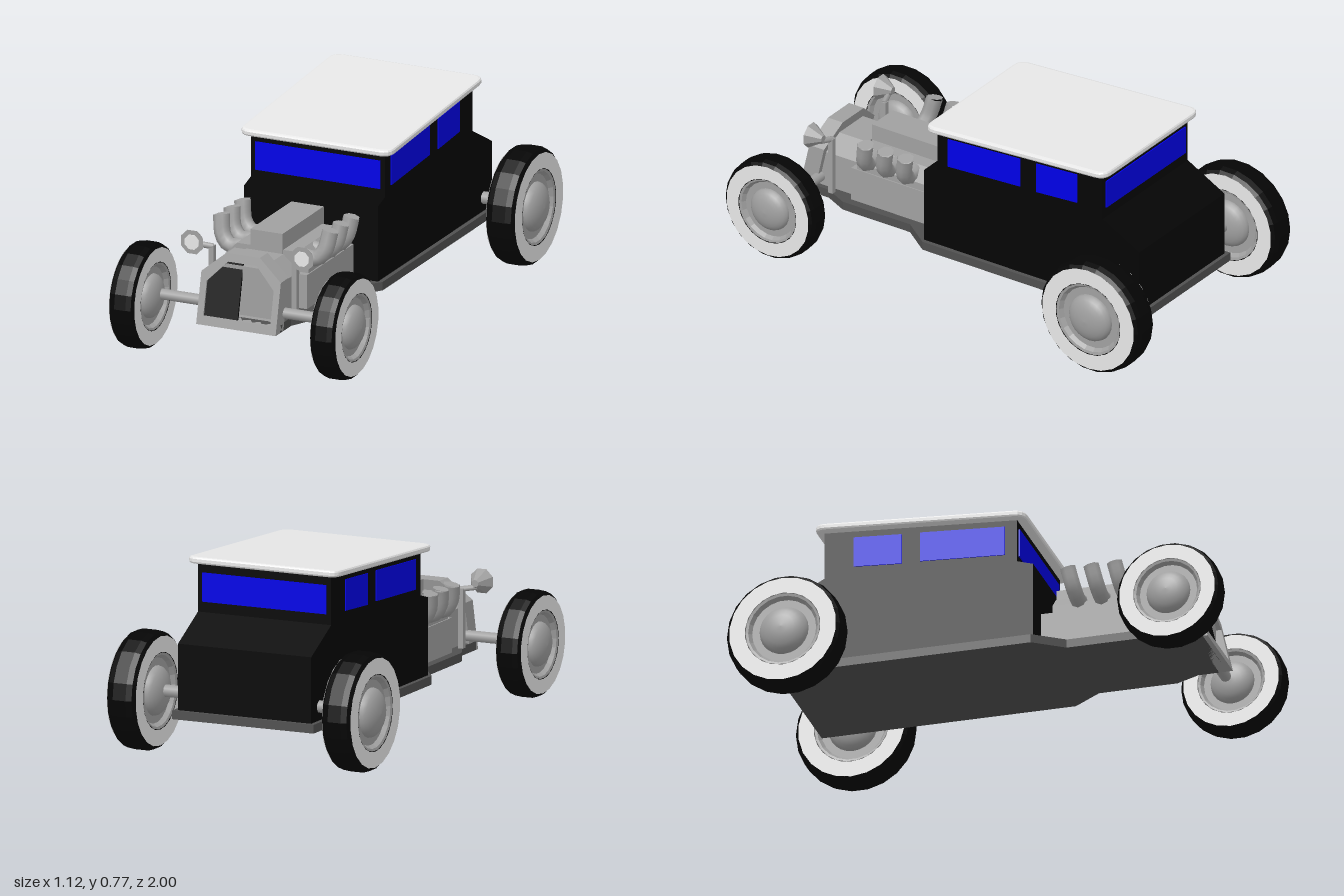
import * as THREE from 'three';

const mat = (name, color) => {
  const m = new THREE.MeshStandardMaterial({ color });
  m.name = name;
  return m;
};

export function createModel() {
  const car = new THREE.Group();
  car.name = 'hotRod';
  const black = mat('black', 0x050505), grey = mat('metalGrey', 0xa0a0a0), dark = mat('frameGrey', 0x505050);
  const white = mat('offWhite', 0xf0f0f0), blue = mat('glassBlue', 0x0000f0);
  const ring = mat('whitewall', 0xf4f4f4);
  ring.side = THREE.DoubleSide;

  const add = (name, geo, material, x = 0, y = 0, z = 0, parent = car) => {
    const m = new THREE.Mesh(geo, material);
    m.name = name;
    m.position.set(x, y, z);
    parent.add(m);
    return m;
  };
  const flat = (geo) => {
    const g = geo.index ? geo.toNonIndexed() : geo;
    g.computeVertexNormals();
    return g;
  };
  const box = (name, w, h, d, material, x, y, z) => add(name, new THREE.BoxGeometry(w, h, d), material, x, y, z);
  const pts = (list) => list.map(([a, b]) => new THREE.Vector2(a, b));
  const mirrored = (list) => [...list, ...list.map(([x, y]) => [-x, y]).reverse()];
  const extrude = (list, depth, hole) => {
    const s = new THREE.Shape(pts(list));
    if (hole) s.holes.push(new THREE.Path(pts(hole)));
    return new THREE.ExtrudeGeometry(s, { depth, bevelEnabled: false });
  };
  // side profile in (z, y), extruded across x
  const profile = (list, width) => extrude(list, width).translate(0, 0, -width / 2).rotateY(-Math.PI / 2);
  // bar between two points
  const bar = (name, a, b, r, material, sides = 12) => {
    const p = new THREE.Vector3(...a), q = new THREE.Vector3(...b);
    const m = add(name, new THREE.CylinderGeometry(r, r, p.distanceTo(q), sides), material);
    m.position.copy(p).add(q).multiplyScalar(0.5);
    m.quaternion.setFromUnitVectors(new THREE.Vector3(0, 1, 0), q.sub(p).normalize());
  };

  // frame: flat plate that narrows towards the nose
  const plan = mirrored([[0.308, 0.855], [0.308, -0.18], [0.22, -0.3], [0.22, -0.62], [0.172, -0.72], [0.172, -0.84]]);
  add('frame', extrude(plan, 0.035).rotateX(-Math.PI / 2), dark, 0, 0.155, 0);

  // cabin with cowl and trunk
  add('body', profile([[0.185, 0.19], [0.185, 0.5], [0.12, 0.52], [0.12, 0.698], [-0.665, 0.746],
    [-0.665, 0.55], [-0.84, 0.455], [-0.84, 0.19]], 0.58), black);

  // windows
  add('frontSideWindows', profile([[0.07, 0.553], [0.07, 0.674], [-0.275, 0.695], [-0.275, 0.572]], 0.588), blue);
  add('rearSideWindows', profile([[-0.35, 0.572], [-0.35, 0.698], [-0.545, 0.71], [-0.545, 0.585]], 0.588), blue);
  box('windscreen', 0.54, 0.116, 0.008, blue, 0, 0.608, 0.121);
  box('rearWindow', 0.54, 0.116, 0.008, blue, 0, 0.65, -0.666);

  // roof: sloping slab with rounded corners
  const w = 0.316, l = 0.418, c = 0.035;
  const roof = new THREE.Shape();
  roof.moveTo(-w + c, -l).lineTo(w - c, -l).quadraticCurveTo(w, -l, w, -l + c).lineTo(w, l - c)
    .quadraticCurveTo(w, l, w - c, l).lineTo(-w + c, l).quadraticCurveTo(-w, l, -w, l - c)
    .lineTo(-w, -l + c).quadraticCurveTo(-w, -l, -w + c, -l);
  const roofGeo = new THREE.ExtrudeGeometry(roof, { depth: 0.012, bevelThickness: 0.008, bevelSize: 0.012, bevelSegments: 2, curveSegments: 4 });
  add('roof', roofGeo.rotateX(-Math.PI / 2).rotateX(0.06), white, 0, 0.728, -0.27);

  // engine
  box('engineBlock', 0.37, 0.14, 0.42, grey, 0, 0.26, 0.395);
  add('cylinderHeads', extrude(mirrored([[0.18, 0.33], [0.18, 0.36], [0.13, 0.41]]), 0.35), grey, 0, 0, 0.23);
  box('airScoop', 0.14, 0.1, 0.37, grey, 0, 0.427, 0.4);
  add('hood', extrude(mirrored([[0.15, 0.19], [0.15, 0.34], [0.08, 0.4]]), 0.2), grey, 0, 0, 0.6);

  // exhaust stacks
  for (const s of [-1, 1]) for (const z of [0.31, 0.405, 0.5]) {
    const path = new THREE.CatmullRomCurve3([[0.13, 0.38, 0.025], [0.185, 0.375, 0.025], [0.22, 0.41, 0.018], [0.236, 0.488, 0]]
      .map(([x, y, dz]) => new THREE.Vector3(s * x, y, z + dz)));
    add('exhaustStack', new THREE.TubeGeometry(path, 8, 0.033, 8), grey);
    const end = add('exhaustEnd', new THREE.CircleGeometry(0.033, 8), grey, s * 0.236, 0.488, z);
    end.rotation.set(-Math.PI / 2, s * 0.2, 0);
  }

  // radiator leaning back
  const lean = (geo) => {
    const p = geo.attributes.position;
    for (let i = 0; i < p.count; i++) p.setZ(i, p.getZ(i) - (p.getY(i) - 0.155) * 0.23);
    return flat(geo);
  };
  const opening = [[0.145, 0.19], [0.145, 0.325], [0.062, 0.41]];
  const shell = mirrored([[0.172, 0.155], [0.172, 0.36], [0.072, 0.443]]);
  add('radiatorShell', lean(extrude(shell, 0.05, mirrored(opening))), grey, 0, 0, 0.81);
  add('radiatorBack', lean(extrude(shell, 0.02)), grey, 0, 0, 0.79);
  const half = [[0, 0.19], ...opening, [0, 0.41]];
  add('grilleDarkHalf', lean(extrude(half.map(([x, y]) => [-x, y]).reverse(), 0.008)), black, 0, 0, 0.845);

  // headlights on bent posts
  for (const s of [-1, 1]) {
    box('headlightPost', 0.022, 0.24, 0.022, grey, s * 0.18, 0.31, 0.7);
    bar('headlightArm', [s * 0.175, 0.425, 0.7], [s * 0.238, 0.435, 0.72], 0.012, grey, 6);
    const lamp = flat(new THREE.CylinderGeometry(0.052, 0.015, 0.06, 8).rotateY(Math.PI / 8).rotateX(Math.PI / 2));
    add('headlight', lamp, grey, s * 0.238, 0.452, 0.73);
    add('headlightLens', new THREE.CylinderGeometry(0.032, 0.032, 0.006, 8).rotateY(Math.PI / 8).rotateX(Math.PI / 2),
      white, s * 0.238, 0.452, 0.761);
  }

  // axles
  bar('frontAxle', [-0.4, 0.225, 0.775], [0.4, 0.225, 0.775], 0.022, grey);
  bar('rearAxle', [-0.45, 0.245, -0.765], [0.45, 0.245, -0.765], 0.025, grey);

  // wheels: tyre, whitewalls, recessed rim and domed hub, symmetric inside and out
  const both = (list) => pts([...list.map(([r, h]) => [r, -h]), ...list.slice().reverse()]);
  const wheel = (name, x, z, r, hw, hub) => {
    const g = new THREE.Group();
    g.name = name;
    g.position.set(x, r + 0.004, z);
    g.rotation.z = Math.PI / 2;
    car.add(g);
    add('tyre', flat(new THREE.LatheGeometry(both([[r * 0.64, hw], [r * 0.91, hw], [r * 0.97, hw * 0.82], [r, hw * 0.45]]), 22)), black, 0, 0, 0, g);
    add('rim', flat(new THREE.LatheGeometry(both([[0, hw - 0.02], [r * 0.55, hw - 0.02], [r * 0.6, hw - 0.004], [r * 0.66, hw - 0.001]]), 22)), grey, 0, 0, 0, g);
    const dome = [];
    for (let i = 0; i <= 6; i++) {
      const a = (i / 6) * Math.PI / 2;
      dome.push([r * 0.42 * Math.sin(a), hw - 0.02 + (hub - hw + 0.02) * Math.cos(a)]);
    }
    add('hub', new THREE.LatheGeometry(both(dome), 24), grey, 0, 0, 0, g);
    for (const s of [-1, 1]) {
      add('whitewall', new THREE.RingGeometry(r * 0.65, r * 0.92, 22).rotateX(-s * Math.PI / 2), ring, 0, s * (hw + 0.001), 0, g);
    }
  };
  for (const s of [-1, 1]) {
    wheel('frontWheel', s * 0.435, 0.79, 0.212, 0.054, 0.077);
    wheel('rearWheel', s * 0.468, -0.763, 0.237, 0.062, 0.09);
  }
  return car;
}
